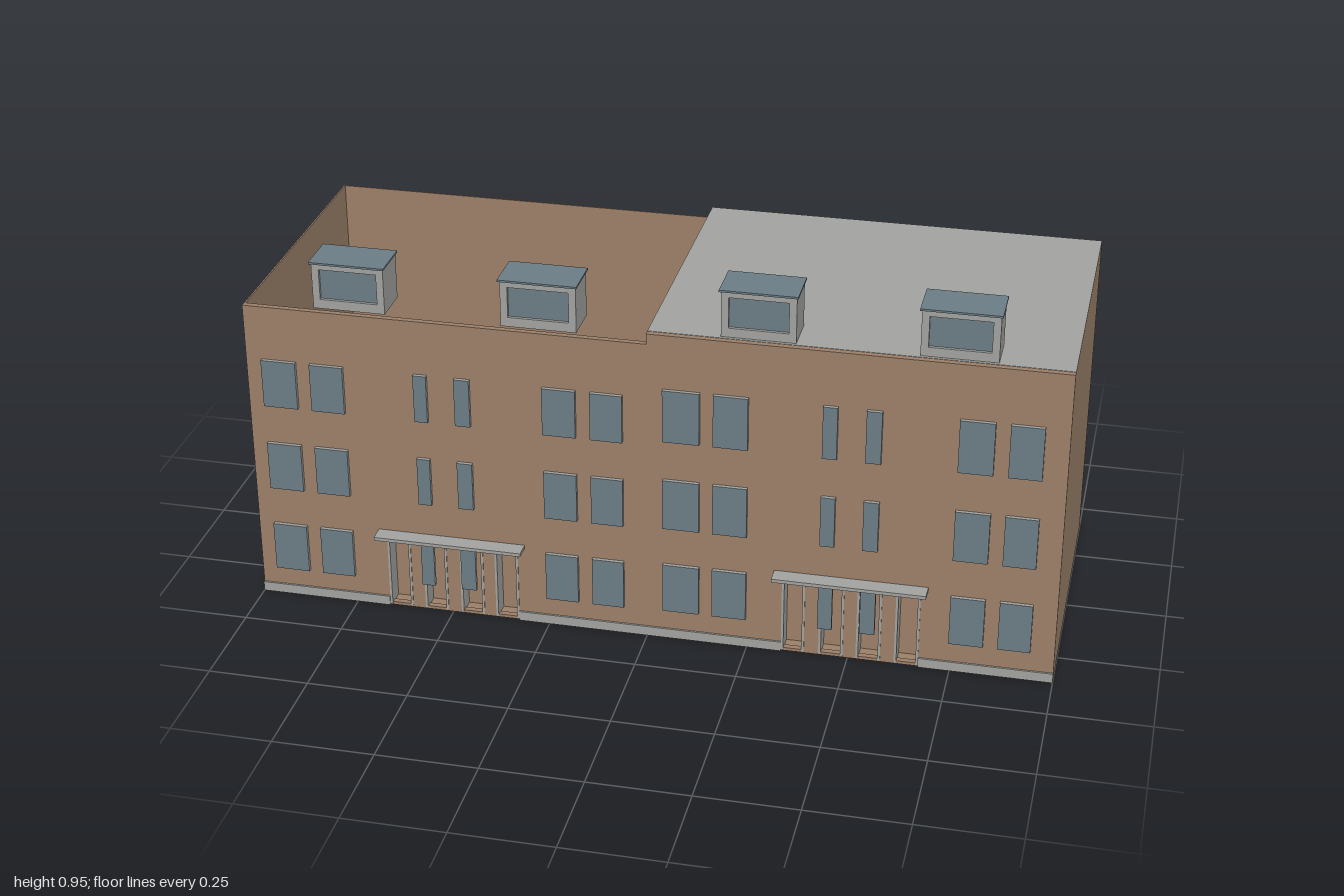
import * as THREE from 'three';

const mat = (name, color) => {
  const m = new THREE.MeshStandardMaterial({ color, side: THREE.DoubleSide });
  m.name = name;
  return m;
};

export function createModel() {
  const brick = mat('brick', 0x9c8069);
  const stone = mat('stone', 0xa2a2a0);
  const slate = mat('slateGlass', 0x6c7d85);
  const model = new THREE.Group();
  model.name = 'terrace';

  // Box given by its limits along each axis
  const box = (parent, name, material, x0, x1, y0, y1, z0, z1) => {
    const mesh = new THREE.Mesh(new THREE.BoxGeometry(x1 - x0, y1 - y0, z1 - z0), material);
    mesh.position.set((x0 + x1) / 2, (y0 + y1) / 2, (z0 + z1) / 2);
    mesh.name = name;
    parent.add(mesh);
    return mesh;
  };
  const rect = (Type, x0, x1, y0, y1) => {
    const p = new Type();
    p.moveTo(x0, y0);
    p.lineTo(x1, y0);
    p.lineTo(x1, y1);
    p.lineTo(x0, y1);
    p.closePath();
    return p;
  };
  const BACK = -0.405, INNER = 0.345, FRONT = 0.36, T = 0.004;

  const halves = [
    {
      name: 'openHouse', x0: -1, x1: 0, height: 0.8, doorTop: 0.2, canopy: [-0.685, -0.31, 0.207],
      doors: [[-0.665, -0.605], [-0.572, -0.512], [-0.478, -0.418], [-0.388, -0.328]],
      columns: [[-0.96, -0.873], [-0.837, -0.753], [-0.575, -0.542], [-0.473, -0.435], [-0.255, -0.173], [-0.137, -0.058]],
      rows: [[0.075, 0.203], [0.305, 0.432], [0.535, 0.66]],
      dormers: [[-0.83, -0.643], [-0.363, -0.17]],
    },
    {
      name: 'roofedHouse', x0: 0, x1: 1, height: 0.827, doorTop: 0.207, canopy: [0.315, 0.69, 0.216],
      doors: [[0.335, 0.392], [0.428, 0.488], [0.52, 0.58], [0.614, 0.673]],
      columns: [[0.04, 0.13], [0.163, 0.247], [0.425, 0.46], [0.528, 0.565], [0.745, 0.828], [0.863, 0.942]],
      rows: [[0.08, 0.21], [0.312, 0.445], [0.55, 0.687]],
      dormers: [[0.17, 0.357], [0.638, 0.828]],
    },
  ];

  for (const h of halves) {
    const house = new THREE.Group();
    house.name = h.name;
    model.add(house);

    // Shell: floor, back wall, side walls
    box(house, 'floor', brick, h.x0, h.x1, 0, T, BACK, INNER);
    box(house, 'backWall', brick, h.x0, h.x1, 0, h.height, BACK, BACK + T);
    box(house, 'sideWall', brick, h.x0, h.x0 + T, 0, h.height, BACK, INNER);
    if (h.x1 === 1) {
      box(house, 'endWall', brick, 1 - T, 1, 0, h.height, BACK, INNER);
      box(house, 'flatRoof', stone, 0, 1, h.height - T, h.height + 0.001, BACK, INNER);
    }

    // Facade with door openings
    const outline = rect(THREE.Shape, h.x0, h.x1, 0, h.height);
    for (const [a, b] of h.doors) outline.holes.push(rect(THREE.Path, a, b, 0.008, h.doorTop));
    const facade = new THREE.Mesh(
      new THREE.ExtrudeGeometry(outline, { depth: FRONT - INNER, bevelEnabled: false }), brick);
    facade.position.z = INNER;
    facade.name = 'facade';
    house.add(facade);

    // Recessed doorways with stone linings
    for (const [a, b] of h.doors) {
      const door = new THREE.Group();
      door.name = 'doorway';
      house.add(door);
      box(door, 'doorPanel', brick, a, b, 0.004, h.doorTop, 0.312, 0.316);
      box(door, 'doorHead', stone, a, b, h.doorTop - 0.004, h.doorTop, 0.316, 0.362);
      for (const x of [a, b - 0.006]) box(door, 'doorJamb', stone, x, x + 0.006, 0.004, h.doorTop, 0.316, 0.362);
    }

    // Canopy over the doors
    const [cx0, cx1, cy] = h.canopy;
    box(house, 'canopy', stone, cx0, cx1, cy, cy + 0.009, FRONT, 0.403);

    // Plinth on either side of the doors
    const first = h.doors[0][0], last = h.doors[3][1];
    box(house, 'plinth', stone, h.x0, first, 0, 0.025, FRONT, 0.365);
    box(house, 'plinth', stone, last, h.x1, 0, 0.025, FRONT, 0.365);

    // Projecting windows: stone sides, glass front
    for (const [a, b] of h.columns) for (const [y0, y1] of h.rows) {
      box(house, 'window', [stone, stone, stone, stone, slate, stone], a, b, y0, y1, FRONT, 0.37);
    }

    // Roof dormers: open-fronted frame, set-back glass, slate lid
    for (const [a, b] of h.dormers) {
      const dormer = new THREE.Group();
      dormer.name = 'dormer';
      house.add(dormer);
      const y = h.height, top = y + 0.118;
      box(dormer, 'dormerBody', stone, a + 0.004, b - 0.004, y, top, 0.237, 0.325);
      for (const x of [a + 0.004, b - 0.022]) box(dormer, 'dormerPost', stone, x, x + 0.018, y, top, 0.325, 0.337);
      box(dormer, 'dormerSill', stone, a + 0.022, b - 0.022, y, y + 0.024, 0.325, 0.337);
      box(dormer, 'dormerHead', stone, a + 0.022, b - 0.022, top - 0.016, top, 0.325, 0.337);
      box(dormer, 'dormerGlass', slate, a + 0.022, b - 0.022, y + 0.024, top - 0.016, 0.325, 0.329);
      box(dormer, 'dormerLid', slate, a, b, top, top + 0.005, 0.233, 0.345);
    }
  }
  return model;
}
